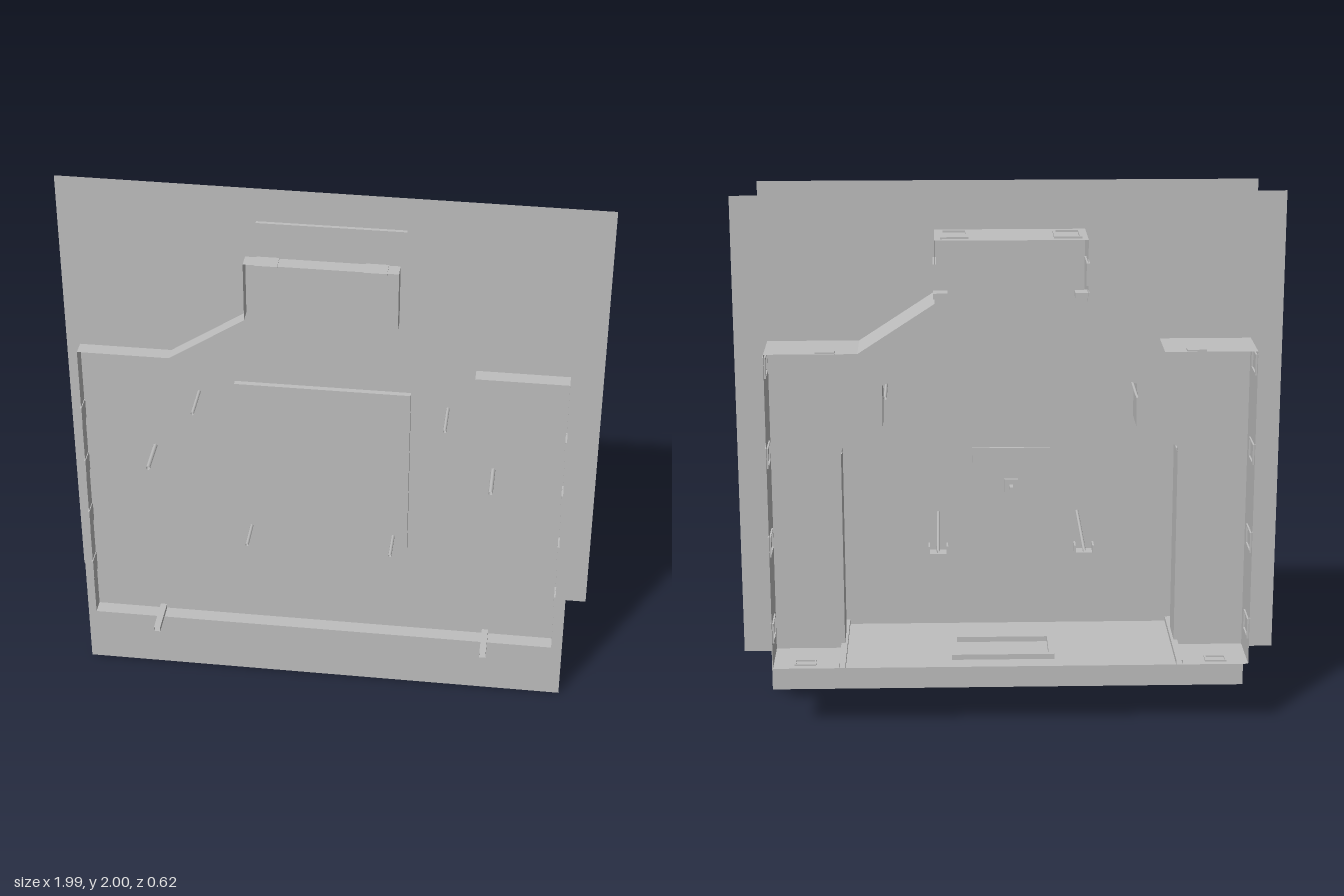
import * as THREE from 'three';

const CX = -0.008; // mirror line of the layout

export function createModel() {
  const model = new THREE.Group();
  const grey = new THREE.MeshStandardMaterial({ color: 0xbebebe, side: THREE.DoubleSide });
  grey.name = 'plainGrey';

  function add(name, geometry, x = 0, y = 0, z = 0) {
    const mesh = new THREE.Mesh(geometry, grey);
    mesh.name = name;
    mesh.position.set(x, y, z);
    model.add(mesh);
    return mesh;
  }
  const box = (name, w, h, d, x, y, z) => add(name, new THREE.BoxGeometry(w, h, d), x, y, z);

  // Ribbon: a profile in x,y swept straight from z0 to z1
  function ribbon(name, pts, z0, z1, closed) {
    const pos = [];
    const n = closed ? pts.length : pts.length - 1;
    for (let i = 0; i < n; i++) {
      const [ax, ay] = pts[i];
      const [bx, by] = pts[(i + 1) % pts.length];
      pos.push(ax, ay, z0, bx, by, z0, bx, by, z1, ax, ay, z0, bx, by, z1, ax, ay, z1);
    }
    const g = new THREE.BufferGeometry();
    g.setAttribute('position', new THREE.Float32BufferAttribute(pos, 3));
    g.computeVertexNormals();
    return add(name, g);
  }

  const outline = (pts) => pts.map(([x, y]) => new THREE.Vector2(x, y));

  // Flat sheet with an opening
  function sheet(name, pts, hole, z) {
    const shape = new THREE.Shape(outline(pts));
    shape.holes.push(new THREE.Path(outline(hole)));
    return add(name, new THREE.ShapeGeometry(shape), 0, 0, z);
  }

  // Rectangular frame lying flat, made from four bars
  function frame(name, w, d, h, t, x, y, z) {
    for (const s of [-1, 1]) {
      box(name, w, h, t, x, y, z + s * (d - t) / 2);
      box(name, t, h, d - 2 * t, x + s * (w - t) / 2, y, z);
    }
  }

  // Mirror a half profile (right half, bottom to top) into a full one
  const mirror = (half) => [
    ...half.map(([x, y]) => [CX + x, y]),
    ...half.slice().reverse().map(([x, y]) => [CX - x, y]),
  ];

  // Front sheet with a square window and its cover
  sheet('frontSheet', [[-0.93, 0], [0.91, 0], [0.91, 2], [-0.93, 2]],
    [[-0.32, 0.67], [0.3, 0.67], [0.3, 1.34], [-0.32, 1.34]], 0.165);
  box('windowCover', 0.635, 0.69, 0.02, CX, 1.005, 0.18);

  // Back sheet with an arched opening down to the floor
  const arch = mirror([[0.62, 0.27], [0.62, 1.05], [0.465, 1.13], [0.465, 1.29], [0.23, 1.37]]);
  sheet('backSheet', [[-1, 0.26], [0.99, 0.26], [0.99, 1.99], [-1, 2]], arch, -0.085);
  ribbon('archLining', arch, -0.085, 0.06, false);

  // Outer casing: floor, walls, shoulders and chimney
  ribbon('casing', mirror([[0.877, 0.27], [0.877, 1.46], [0.545, 1.46], [0.27, 1.64], [0.27, 1.865]]),
    -0.29, 0.22, true);

  // Open-ended rods through the sheets
  function rod(x, y, r, z0, z1) {
    const g = new THREE.CylinderGeometry(r, r, z1 - z0, 8, 1, true).rotateX(Math.PI / 2);
    add('rod', g, x, y, (z0 + z1) / 2);
  }
  for (const s of [-1, 1]) {
    rod(CX + s * 0.45, 1.29, 0.006, -0.26, 0.31);
    rod(CX + s * 0.622, 1.037, 0.008, -0.08, 0.31);
    rod(CX + s * 0.265, 0.72, 0.006, -0.29, 0.31);

    // Clip holding the back end of the lower rod
    const cx = CX + s * 0.265;
    box('rodClipBase', 0.07, 0.006, 0.05, cx, 0.705, -0.255);
    for (const t of [-1, 1]) box('rodClipSide', 0.006, 0.03, 0.05, cx + t * 0.033, 0.72, -0.255);

    // Floor rail running out to the front
    ribbon('floorRail', [[-0.012, 0.27], [-0.012, 0.288], [0.012, 0.288], [0.012, 0.27]]
      .map(([x, y]) => [CX + s * 0.622 + x, y]), -0.29, 0.31, true);

    // Tabs along the wall edges
    const wx = CX + s * 0.877;
    for (let i = 0; i < 4; i++) {
      box('frontTab', 0.006, 0.08, 0.07, wx, 0.48 + i * 0.234, 0.193);
      const y = 0.4 + i * 0.335;
      for (const t of [-1, 1]) {
        box('slotTrim', 0.012, 0.006, 0.11, wx, y + t * 0.035, -0.215);
        box('slotTrim', 0.012, 0.07, 0.006, wx, y, -0.215 + t * 0.052);
      }
    }

    // Shoulder, chimney and floor fittings
    box('topTab', 0.08, 0.006, 0.07, CX + s * 0.19, 1.865, 0.193);
    box('shoulderClip', 0.07, 0.012, 0.03, CX + s * 0.66, 1.46, -0.27);
    box('chimneyClip', 0.05, 0.02, 0.05, CX + s * 0.25, 1.665, -0.26);
    box('chimneySidePlate', 0.012, 0.08, 0.13, CX + s * 0.27, 1.74, -0.222);
    frame('topFrame', 0.1, 0.13, 0.01, 0.01, CX + s * 0.2, 1.867, -0.2);
    frame('floorSlot', 0.08, 0.05, 0.008, 0.006, CX + s * 0.76, 0.272, -0.24);
  }

  // Back edge clip and long frame on the chimney top
  box('topClip', 0.11, 0.025, 0.04, CX, 1.852, -0.27);
  frame('topFrame', 0.24, 0.1, 0.01, 0.01, CX, 1.867, 0);

  // Frame on the floor and plate beneath it
  frame('floorFrame', 0.38, 0.2, 0.02, 0.02, 0.02, 0.28, -0.12);
  box('floorUnderPlate', 0.3, 0.008, 0.13, CX, 0.262, -0.035);

  // Small square panel with a hub, hanging behind the opening
  box('smallPanel', 0.28, 0.28, 0.01, CX, 0.96, -0.25);
  box('panelHub', 0.05, 0.05, 0.015, CX, 0.96, -0.262);
  box('panelPin', 0.012, 0.012, 0.04, CX, 0.96, -0.285);

  return model;
}
